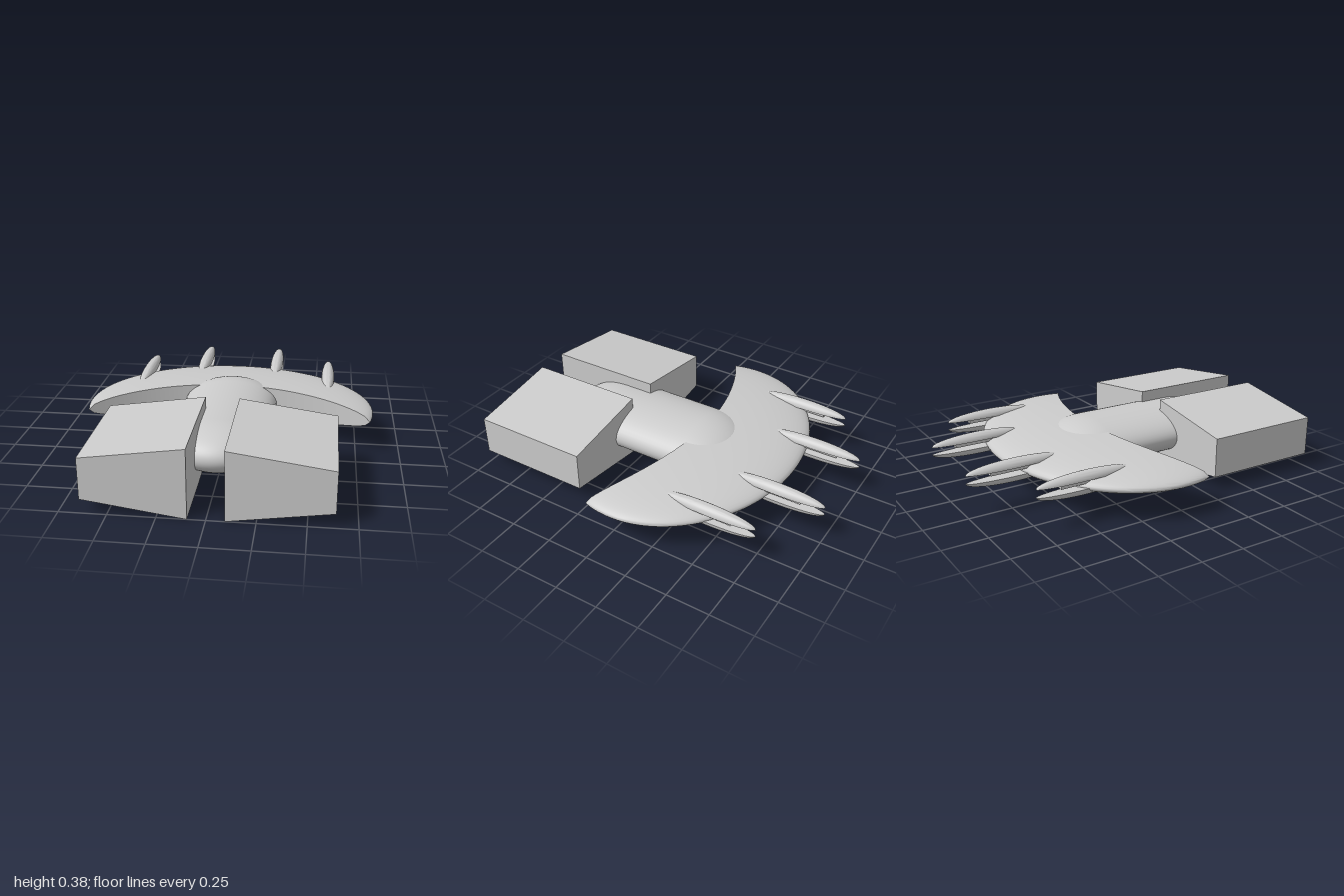
import * as THREE from 'three';
import { toCreasedNormals } from 'three/addons/utils/BufferGeometryUtils.js';

const MID = 0.192; // height of the horizontal middle plane
const material = new THREE.MeshStandardMaterial({ color: 0xcccccc });

function addMesh(parent, name, geometry) {
  const mesh = new THREE.Mesh(geometry, material);
  mesh.name = name;
  parent.add(mesh);
  return mesh;
}

// Crescent wing: a flattened ellipsoid cut off in front by an upright curved wall
function wingGeometry() {
  const rx = 0.845, ry = 0.1, rz = 0.67, cz = -0.03, tip = 0.229;
  const tipX = rx * Math.cos(tip), tipZ = cz + rz * Math.sin(tip), innerZ = -0.125;
  const sections = 64, n = 14, loop = 2 * n + 1;
  const positions = [], index = [];
  for (let i = 0; i <= sections; i++) {
    const s = (2 * i) / sections - 1;
    const angle = s * (Math.PI / 2 + tip);
    const ox = rx * Math.sin(angle), oz = cz - rz * Math.cos(angle);
    const ix = tipX * s, iz = innerZ + (tipZ - innerZ) * s * s;
    for (let j = 0; j < loop; j++) {
      // over the top from the inner wall to the rim, then back underneath
      const t = j === n ? 1 : Math.sin(((n - Math.abs(j - n)) / n) * Math.PI / 2);
      const x = ix + (ox - ix) * t, z = iz + (oz - iz) * t;
      const h = j === n ? 0 : ry * Math.sqrt(Math.max(0, 1 - (x / rx) ** 2 - ((z - cz) / rz) ** 2));
      positions.push(x, MID + (j < n ? h : -h), z);
    }
  }
  for (let i = 0; i < sections; i++) {
    for (let j = 0; j < loop; j++) {
      const k = (j + 1) % loop;
      const a = i * loop + j, b = a + loop, c = i * loop + k, d = c + loop;
      index.push(a, b, c, b, d, c);
    }
  }
  const geometry = new THREE.BufferGeometry();
  geometry.setAttribute('position', new THREE.Float32BufferAttribute(positions, 3));
  geometry.setIndex(index);
  return toCreasedNormals(geometry, 0.7);
}

// Long half ellipsoid with a flat underside
function halfSpikeGeometry() {
  const profile = [new THREE.Vector2(0, 0)];
  for (let i = 0; i <= 10; i++) {
    const a = (i / 10) * Math.PI / 2;
    profile.push(new THREE.Vector2(i === 10 ? 0 : Math.cos(a), Math.sin(a)));
  }
  const geometry = new THREE.LatheGeometry(profile, 32);
  geometry.scale(0.04, 0.043, 0.285);
  return toCreasedNormals(geometry, 0.8);
}

// Split spike: two halves with a slot and a thin tongue between them
function createSpike(halfSpike, x, z) {
  const spike = new THREE.Group();
  spike.name = 'spike';
  addMesh(spike, 'upperSpikeHalf', halfSpike).position.y = 0.022;
  const lower = addMesh(spike, 'lowerSpikeHalf', halfSpike);
  lower.position.y = -0.022;
  lower.rotation.z = Math.PI;
  const tongue = addMesh(spike, 'spikeTongue', new THREE.BoxGeometry(0.03, 0.025, 0.3));
  tongue.position.set(0, 0.009, 0);
  spike.position.set(x, MID + 0.021, z);
  return spike;
}

// Block that is taller at its inner side
function blockGeometry(side) {
  const shape = new THREE.Shape([
    new THREE.Vector2(side * 0.094, 0),
    new THREE.Vector2(side * 0.638, 0.078),
    new THREE.Vector2(side * 0.638, 0.305),
    new THREE.Vector2(side * 0.094, 0.382),
  ]);
  const geometry = new THREE.ExtrudeGeometry(shape, { depth: 0.685, bevelEnabled: false });
  return geometry.translate(0, 0, 0.315);
}

export function createModel() {
  const model = new THREE.Group();
  model.name = 'model';

  // Flattened capsule body
  const body = new THREE.CapsuleGeometry(0.275, 0.58, 16, 48);
  body.rotateX(Math.PI / 2).scale(1, 0.484, 1).translate(0, MID, 0.19);
  addMesh(model, 'body', body);

  addMesh(model, 'crescentWing', wingGeometry());

  // Blocks and spikes on both sides
  const halfSpike = halfSpikeGeometry();
  for (const side of [1, -1]) {
    addMesh(model, side > 0 ? 'leftBlock' : 'rightBlock', blockGeometry(side));
    model.add(createSpike(halfSpike, side * 0.237, -0.715));
    model.add(createSpike(halfSpike, side * 0.577, -0.485));
  }
  return model;
}
